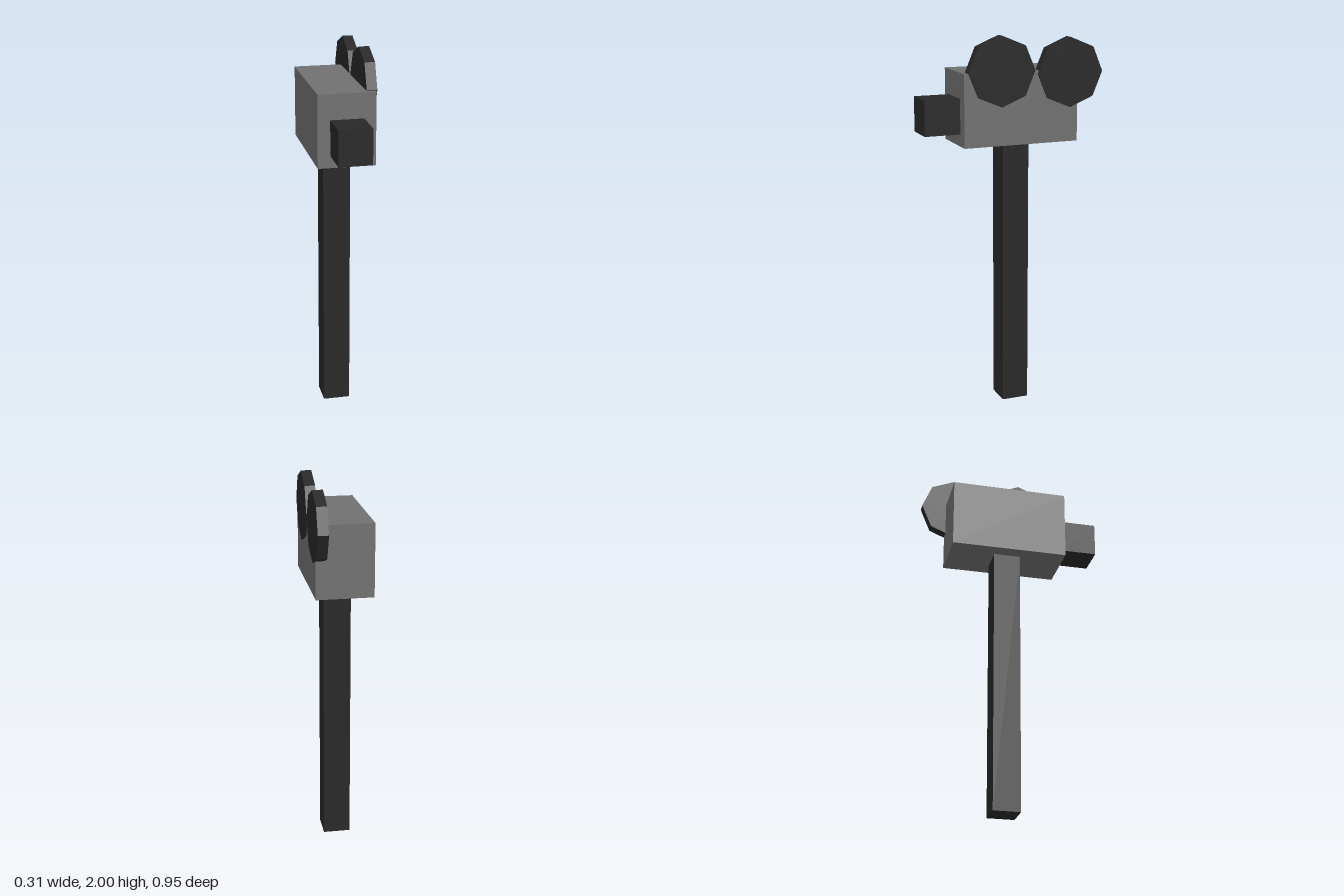
import * as THREE from 'three';

export function createModel() {
  const model = new THREE.Group();
  const grey = new THREE.MeshStandardMaterial({ color: 0x707070, flatShading: true });
  const dark = new THREE.MeshStandardMaterial({ color: 0x282828, flatShading: true });

  function add(name, geometry, material, x, y, z) {
    const mesh = new THREE.Mesh(geometry, material);
    mesh.name = name;
    mesh.position.set(x, y, z);
    model.add(mesh);
    return mesh;
  }

  // Camera housing on its single post
  add('cameraBody', new THREE.BoxGeometry(0.297, 0.378, 0.625), grey, -0.006, 1.627, -0.028);
  add('post', new THREE.BoxGeometry(0.144, 1.44, 0.144), dark, -0.007, 0.72, -0.026);

  // Square lens at the front
  add('lens', new THREE.BoxGeometry(0.172, 0.183, 0.19), dark, -0.005, 1.593, 0.38);

  // Two octagonal film reels on the left side, corners pointing up
  for (const [name, y, z] of [['frontReel', 1.819, 0.082], ['rearReel', 1.799, -0.296]]) {
    const reel = add(name, new THREE.CylinderGeometry(0.181, 0.181, 0.054, 8), dark, 0.124, y, z);
    reel.rotation.z = Math.PI / 2;
  }

  return model;
}
